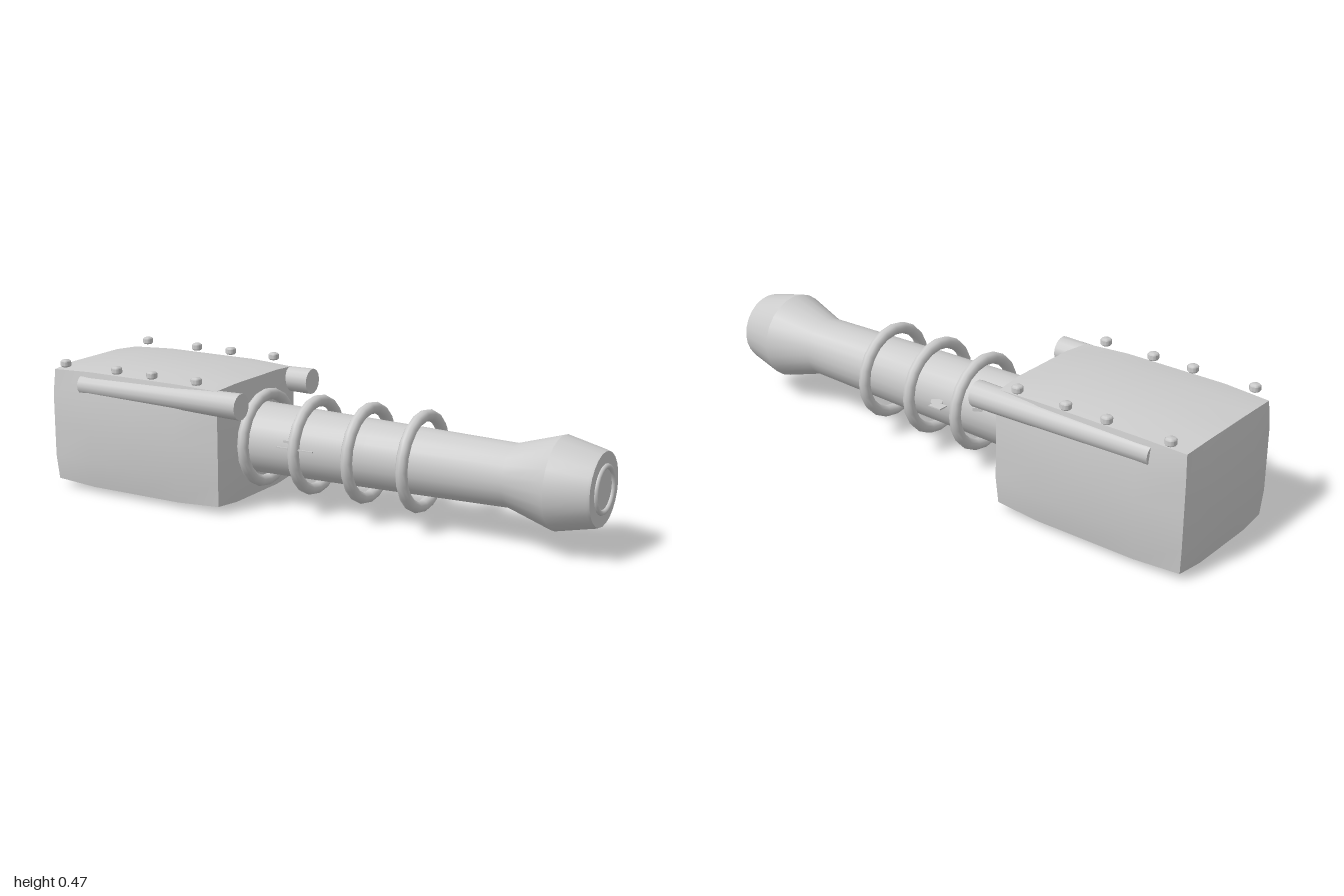
import * as THREE from 'three';
import { toCreasedNormals } from 'three/addons/utils/BufferGeometryUtils.js';

const AXIS_Y = 0.226;

export function createModel() {
  const model = new THREE.Group();
  const grey = new THREE.MeshStandardMaterial({ color: 0xcccccc });

  function add(name, geometry, x, y, z) {
    const mesh = new THREE.Mesh(geometry, grey);
    mesh.name = name;
    mesh.position.set(x, y, z);
    model.add(mesh);
    return mesh;
  }

  // Solid of revolution lying along x, from [x, radius] pairs
  function turned(profile, segments, crease) {
    const points = profile.map(([x, r]) => new THREE.Vector2(r, x));
    const geometry = new THREE.LatheGeometry(points, segments).rotateZ(-Math.PI / 2);
    return toCreasedNormals(geometry, crease);
  }

  // Housing: a box whose faces bulge, so its rims are drawn in
  const half = [0.366, 0.2265, 0.256];
  const drawIn = [0.015, 0.019, 0.017];
  const box = new THREE.BoxGeometry(2, 2, 2, 4, 4, 4);
  const pos = box.attributes.position;
  for (let i = 0; i < pos.count; i++) {
    const p = [pos.getX(i), pos.getY(i), pos.getZ(i)];
    const rim = p.map((v) => (Math.abs(v) > 0.99 ? 1 : 0));
    const q = p.map((v, k) => {
      const others = rim[(k + 1) % 3] + rim[(k + 2) % 3];
      return v * (half[k] - drawIn[k] * [0, 1, 1.4][others] * rim[k]);
    });
    pos.setXYZ(i, ...q);
  }
  add('housing', toCreasedNormals(box, 0.6), -0.634, 0.2265, 0);

  // Barrel with flared muzzle and shallow recessed end
  add('barrel', turned([
    [-0.3, 0], [-0.3, 0.124], [0.2, 0.115], [0.69, 0.104], [0.85, 0.153],
    [0.982, 0.123], [0.99, 0.12], [0.99, 0.08], [0.99, 0],
  ], 24, 0.5), 0, AXIS_Y, 0);
  add('muzzleRing', new THREE.TorusGeometry(0.073, 0.009, 8, 24).rotateY(Math.PI / 2), 0.991, AXIS_Y, 0);

  // Loose hoops around the barrel
  for (const x of [-0.24, -0.04, 0.163, 0.366]) {
    add('hoop', new THREE.TorusGeometry(0.152, 0.02, 10, 20).rotateY(Math.PI / 2), x, AXIS_Y, 0);
  }

  // Side rods and the studs along the housing's upper edges
  const stud = toCreasedNormals(new THREE.LatheGeometry([
    [0, -0.012], [0.014, -0.012], [0.019, -0.007], [0.019, 0.007], [0.014, 0.012], [0, 0.012],
  ].map(([r, y]) => new THREE.Vector2(r, y)), 12), 0.9);
  for (const side of [1, -1]) {
    add('sideRod', turned([[-0.86, 0], [-0.86, 0.035], [-0.195, 0.045], [-0.195, 0]], 14, 0.6),
      0, 0.384, side * 0.225);
    for (const x of [-0.925, -0.7, -0.55, -0.365]) add('stud', stud, x, 0.454, side * 0.237);
  }

  // Thin loose plates beside the barrel
  add('frontPlate', new THREE.BoxGeometry(0.14, 0.004, 0.006), -0.035, 0.244, 0.152);
  add('frontTab', new THREE.BoxGeometry(0.03, 0.008, 0.02), -0.08, 0.259, 0.118);
  add('backPlate', new THREE.BoxGeometry(0.05, 0.004, 0.036), 0.013, 0.257, -0.176);
  add('backTab', new THREE.BoxGeometry(0.04, 0.012, 0.025), -0.11, 0.262, -0.112).rotation.y = 0.5;
  add('backTab', new THREE.BoxGeometry(0.04, 0.012, 0.03), 0.055, 0.24, -0.132).rotation.y = 0.6;

  return model;
}
